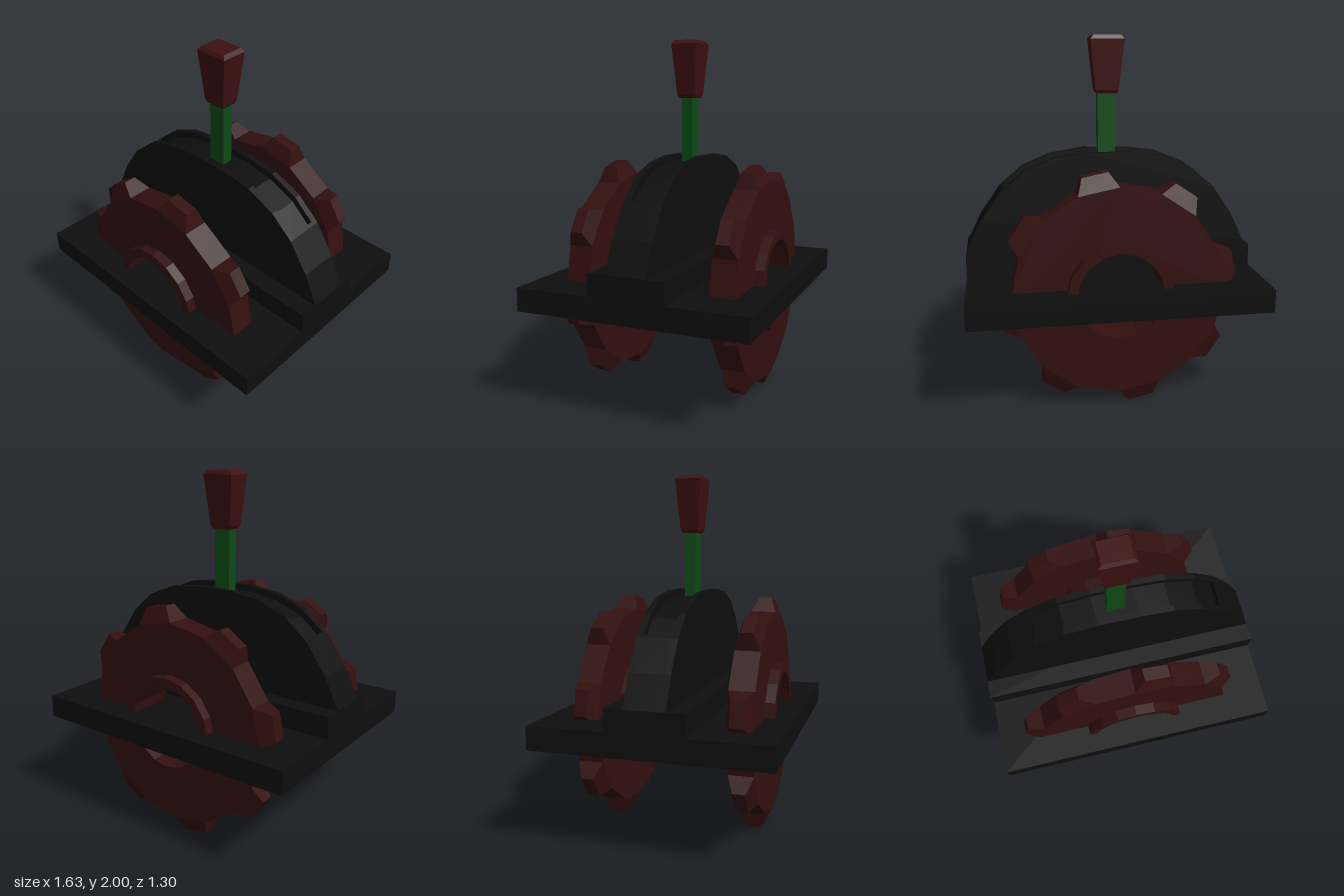
import * as THREE from 'three';

const mat = (color) => new THREE.MeshStandardMaterial({ color, flatShading: true });
const black = mat(0x0e0e0e), red = mat(0x330f0f), green = mat(0x0d4a14), gripRed = mat(0x3d0f10);

function add(parent, name, geometry, material, x = 0, y = 0, z = 0) {
  const mesh = new THREE.Mesh(geometry, material);
  mesh.name = name;
  mesh.position.set(x, y, z);
  parent.add(mesh);
  return mesh;
}

const box = (parent, name, w, h, d, x, y, z, m = black) =>
  add(parent, name, new THREE.BoxGeometry(w, h, d), m, x, y, z);

// Flat outline pushed out along z, centred on z = 0
function slab(shape, depth) {
  return new THREE.ExtrudeGeometry(shape, { depth, bevelEnabled: false }).translate(0, 0, -depth / 2);
}

const polygon = (r, n = 16) => Array.from({ length: n }, (_, i) => {
  const a = (i / n) * Math.PI * 2;
  return new THREE.Vector2(r * Math.cos(a), r * Math.sin(a));
});

function ring(outer, inner, depth) {
  const shape = new THREE.Shape(polygon(outer));
  shape.holes.push(new THREE.Path(polygon(inner)));
  return slab(shape, depth);
}

// Tooth that narrows towards its tip in both directions
function toothGeometry() {
  const g = new THREE.BoxGeometry(2, 2, 2);
  const p = g.attributes.position;
  for (let i = 0; i < p.count; i++) {
    const tip = p.getY(i) > 0;
    p.setXYZ(i, p.getX(i) * (tip ? 0.0715 : 0.113), tip ? 0.653 : 0.566, p.getZ(i) * (tip ? 0.035 : 0.07));
  }
  return g;
}

function makeGear() {
  const gear = new THREE.Group();
  gear.name = 'gear';
  add(gear, 'gearBody', ring(0.578, 0.26, 0.14), red);
  add(gear, 'gearHub', ring(0.287, 0.236, 0.25), red);
  const tooth = toothGeometry();
  for (let k = 0; k < 8; k++) {
    add(gear, 'gearTooth', tooth, red).rotation.z = THREE.MathUtils.degToRad(33.75 + 45 * k - 90);
  }
  return gear;
}

// Mirrors a right-hand half outline (bottom to top) into a closed shape
function mirroredShape(half) {
  const left = half.map(([x, y]) => [-x, y]).reverse();
  return new THREE.Shape([...half, ...left].map(([x, y]) => new THREE.Vector2(x, y)));
}

export function createModel() {
  const model = new THREE.Group();
  model.name = 'geared lever';

  // Base plate, hollow underneath
  const base = new THREE.Group();
  base.name = 'basePlate';
  model.add(base);
  box(base, 'plateTop', 1.626, 0.04, 1.3, 0, 0.668, 0);
  for (const s of [-1, 1]) {
    box(base, 'plateEndWall', 0.06, 0.1, 1.3, s * 0.783, 0.609, 0);
    box(base, 'plateSideWall', 1.52, 0.1, 0.06, 0, 0.609, s * 0.62);
    box(base, 'plateRib', 1.52, 0.1, 0.08, 0, 0.609, s * 0.17);
  }
  box(base, 'plinth', 1.626, 0.125, 0.43, 0, 0.7475, 0);

  // Arched housing: two cheeks with a sunken lever track between them
  const arch = new THREE.Group();
  arch.name = 'archHousing';
  model.add(arch);
  const outer = [[0.813, 0.75], [0.813, 0.81], [0.73, 0.98], [0.615, 1.145], [0.48, 1.26], [0.31, 1.33], [0.12, 1.355]];
  const track = [[0.813, 0.75], [0.813, 0.81], [0.73, 0.98], [0.615, 1.145], [0.6, 1.158], [0.59, 1.118],
    [0.465, 1.225], [0.3, 1.295], [0.12, 1.32]];
  const cheek = slab(mirroredShape(outer), 0.035);
  for (const s of [-1, 1]) add(arch, 'archCheek', cheek, black, 0, 0, s * 0.0945);
  add(arch, 'leverTrack', slab(mirroredShape(track), 0.154), black);

  // Toothed wheels on both sides
  for (const s of [-1, 1]) {
    const gear = makeGear();
    gear.position.set(0, 0.658, s * 0.42);
    model.add(gear);
  }

  // Lever with a flared four-sided grip
  const lever = new THREE.Group();
  lever.name = 'lever';
  model.add(lever);
  box(lever, 'leverShaft', 0.1, 0.5, 0.062, 0, 1.46, 0, green);
  const profile = [[0, 1.68], [0.055, 1.68], [0.066, 1.7], [0.095, 1.98], [0.078, 2], [0, 2]]
    .map(([x, y]) => new THREE.Vector2(x * Math.SQRT2, y));
  const grip = new THREE.LatheGeometry(profile, 4).rotateY(Math.PI / 4).scale(1, 1, 0.79);
  add(lever, 'leverGrip', grip, gripRed);

  return model;
}
